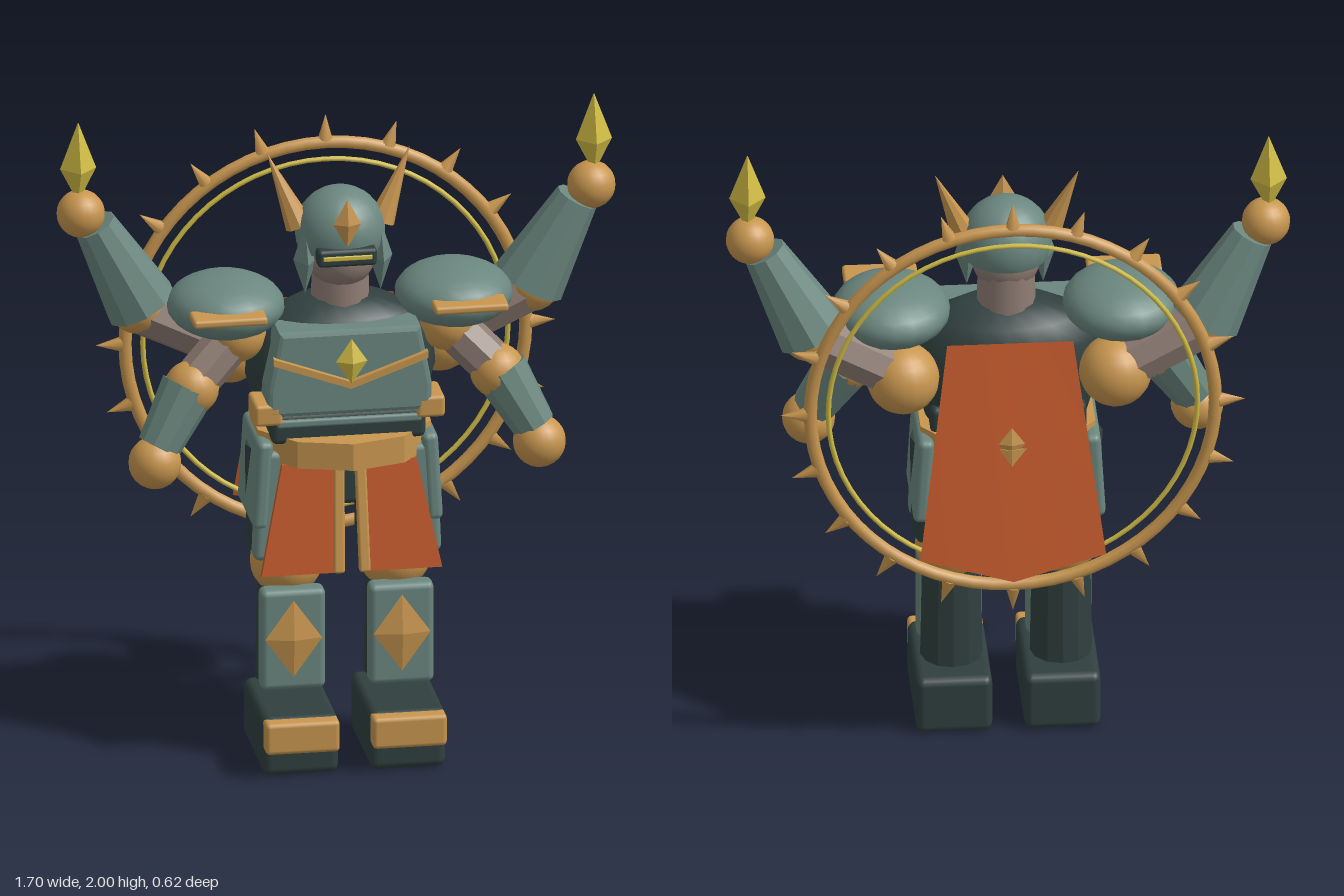
import * as THREE from 'three';
import { toCreasedNormals } from 'three/addons/utils/BufferGeometryUtils.js';
import { RoundedBoxGeometry } from 'three/addons/geometries/RoundedBoxGeometry.js';

const V = (x, y, z) => new THREE.Vector3(x, y, z);

export function createModel() {
  const mat = (name, color, side = THREE.FrontSide) => {
    const m = new THREE.MeshStandardMaterial({ color, side });
    m.name = name;
    return m;
  };
  const teal = mat('teal armour', 0x6b877f);
  const gold = mat('gold trim', 0xc8964f);
  const dark = mat('dark undersuit', 0x30403f);
  const skin = mat('grey brown skin', 0x8f7d74);
  const yellow = mat('yellow crystal', 0xd2bd45);
  const cloth = mat('orange cloth', 0xc45a2c, THREE.DoubleSide);

  const model = new THREE.Group();
  model.name = 'armouredGuardian';

  const add = (name, geo, material, p = [0, 0, 0], r = [0, 0, 0], s = [1, 1, 1]) => {
    const m = new THREE.Mesh(geo, material);
    m.name = name;
    m.position.set(...p);
    m.rotation.set(...r);
    m.scale.set(...s);
    model.add(m);
    return m;
  };
  const flat = (g) => toCreasedNormals(g, 0.3);
  const box = (name, m, size, p, r, bevel = 0.02) =>
    add(name, new RoundedBoxGeometry(...size, 2, bevel), m, p, r);
  const ball = (name, m, radius, p, s) =>
    add(name, new THREE.SphereGeometry(radius, 20, 14), m, p, [0, 0, 0], s);
  const diamond = (name, m, p, s) => add(name, new THREE.OctahedronGeometry(1), m, p, [0, 0, 0], s);

  // Tapered limb running from a to b
  const limb = (name, m, a, b, ra, rb, sides = 10) => {
    const dir = b.clone().sub(a);
    const mesh = add(name, flat(new THREE.CylinderGeometry(rb, ra, dir.length(), sides)), m);
    mesh.position.copy(a).addScaledVector(dir, 0.5);
    mesh.quaternion.setFromUnitVectors(V(0, 1, 0), dir.normalize());
    return mesh;
  };

  // Flat outlined plate, extruded along z
  const plate = (name, m, pts, depth, p, r, bevel = 0) => {
    const shape = new THREE.Shape(pts.map(([x, y]) => new THREE.Vector2(x, y)));
    const g = new THREE.ExtrudeGeometry(shape, {
      depth, bevelEnabled: bevel > 0, bevelSize: bevel, bevelThickness: bevel, bevelOffset: -bevel, bevelSegments: 2,
    });
    return add(name, g, m, p, r);
  };

  // Spiked halo behind the back
  const halo = { y: 1.21, z: -0.27 };
  add('haloRing', new THREE.TorusGeometry(0.61, 0.02, 8, 64), gold, [0, halo.y, halo.z]);
  add('haloInnerRing', new THREE.TorusGeometry(0.556, 0.008, 6, 64), yellow, [0, halo.y, halo.z]);
  for (let i = 0; i < 20; i++) {
    const a = (i / 20) * Math.PI * 2;
    add('haloSpike', new THREE.ConeGeometry(0.024, 0.08, 6), gold,
      [Math.sin(a) * 0.66, halo.y + Math.cos(a) * 0.66, halo.z], [0, 0, -a]);
  }

  // Torso, chest armour and belt
  const torso = [[0, 1.0], [0.23, 1.0], [0.26, 1.1], [0.29, 1.2], [0.28, 1.32], [0.22, 1.39], [0.13, 1.435], [0, 1.44]];
  add('torso', new THREE.LatheGeometry(torso.map(([x, y]) => new THREE.Vector2(x, y)), 20), dark,
    [0, 0, 0], [0, 0, 0], [1, 1, 0.57]);
  box('abdomen', dark, [0.47, 0.1, 0.28], [0, 1.07, 0.03]);
  plate('chestPlate', teal, [[-0.25, 1.115], [0.25, 1.115], [0.25, 1.2], [0.215, 1.385], [-0.215, 1.385], [-0.25, 1.2]],
    0.11, [0, 0, 0.065], [0, 0, 0], 0.015);
  box('abdomenBand', teal, [0.44, 0.025, 0.05], [0, 1.09, 0.155], [0, 0, 0], 0.008);
  plate('chestChevron', gold, [[-0.235, 1.29], [0, 1.205], [0.235, 1.29], [0.235, 1.312], [0, 1.227], [-0.235, 1.312]],
    0.025, [0, 0, 0.185]);
  diamond('chestGem', yellow, [0, 1.295, 0.215], [0.048, 0.072, 0.025]);
  add('belt', flat(new THREE.CylinderGeometry(0.277, 0.277, 0.085, 10)), gold, [0, 1.0, 0.005], [0, 0, 0], [1, 1, 0.89]);
  box('pelvis', dark, [0.4, 0.2, 0.24], [0, 0.9, 0]);

  // Neck, head and helmet
  add('neck', new THREE.CylinderGeometry(0.085, 0.09, 0.18, 12), skin, [0, 1.48, 0]);
  ball('face', skin, 0.105, [0, 1.57, 0.015]);
  add('helmet', new THREE.SphereGeometry(0.137, 20, 12, 0, Math.PI * 2, 0, Math.PI * 0.62), teal, [0, 1.64, 0]);
  add('helmetBase', new THREE.CircleGeometry(0.127, 20), teal, [0, 1.589, 0], [Math.PI / 2, 0, 0]);
  box('visor', dark, [0.18, 0.055, 0.06], [0, 1.598, 0.115], [0, 0, 0], 0.012);
  box('visorSlit', yellow, [0.15, 0.014, 0.009], [0, 1.6, 0.146], [0, 0, 0], 0.003);
  diamond('helmetCrest', gold, [0, 1.705, 0.135], [0.042, 0.078, 0.022]);

  // Cape hanging away from the back
  const cape = new THREE.BufferGeometry();
  cape.setAttribute('position', new THREE.Float32BufferAttribute([
    0.19, 1.37, -0.165, 0, 1.37, -0.165, -0.19, 1.37, -0.165,
    0.28, 0.7, -0.285, 0, 0.63, -0.313, -0.28, 0.7, -0.285], 3));
  cape.setIndex([0, 3, 4, 0, 4, 1, 1, 4, 5, 1, 5, 2]);
  cape.computeVertexNormals();
  add('cape', cape, cloth);
  diamond('capeEmblem', gold, [0, 1.06, -0.23], [0.04, 0.055, 0.014]);

  for (const s of [-1, 1]) {
    const at = (x, y, z) => V(s * x, y, z);

    // Helmet horn and cheek guard
    limb('horn', gold, at(0.125, 1.66, 0), at(0.215, 1.88, -0.03), 0.042, 0.001, 8);
    diamond('cheekGuard', teal, [s * 0.115, 1.57, 0.05], [0.036, 0.11, 0.065]);

    // Shoulder armour
    ball('pauldron', teal, 1, [s * 0.347, 1.418, -0.01], [0.178, 0.094, 0.192]);
    box('pauldronTrim', gold, [0.225, 0.026, 0.1], [s * 0.367, 1.437, 0.165], [0, 0, 0], 0.01);
    box('ribGuard', gold, [0.085, 0.068, 0.14], [s * 0.247, 1.124, 0.12], [0, 0, 0], 0.012);

    // Raised arm holding a crystal
    ball('rearShoulder', gold, 0.11, [s * 0.32, 1.24, -0.12]);
    limb('rearUpperArm', skin, at(0.32, 1.25, -0.12), at(0.61, 1.4, -0.1), 0.08, 0.085, 8);
    ball('rearElbow', gold, 0.09, [s * 0.6, 1.4, -0.1]);
    limb('rearForearm', teal, at(0.59, 1.4, -0.1), at(0.735, 1.67, -0.08), 0.112, 0.066);
    ball('rearHand', gold, 0.073, [s * 0.777, 1.71, -0.075]);
    limb('crystalBase', yellow, at(0.785, 1.77, -0.075), at(0.785, 1.855, -0.075), 0.012, 0.055, 4);
    limb('crystalTip', yellow, at(0.785, 1.855, -0.075), at(0.785, 2.0, -0.075), 0.055, 0.001, 4);

    // Lowered arm
    ball('frontShoulder', gold, 0.09, [s * 0.32, 1.34, 0.03]);
    limb('frontUpperArm', skin, at(0.32, 1.34, 0.03), at(0.47, 1.19, 0.08), 0.07, 0.07, 8);
    ball('frontElbow', gold, 0.083, [s * 0.465, 1.19, 0.08]);
    limb('frontForearm', teal, at(0.475, 1.19, 0.08), at(0.572, 1.02, 0.12), 0.085, 0.066);
    ball('frontHand', gold, 0.08, [s * 0.585, 0.975, 0.13]);

    // Skirt cloth with gold edging, tilted outward at the hem
    const skirt = [[0.035, 0.34], [0.205, 0.34], [0.275, 0], [0.035, 0]].map(([x, y]) => [s * x, y]);
    plate('skirtPanel', cloth, skirt, 0.022, [0, 0.62, 0.2], [-0.135, 0, 0]);
    box('skirtTrim', gold, [0.034, 0.345, 0.03], [s * 0.036, 0.792, 0.195], [-0.135, 0, s * 0.02], 0.008);

    // Leg armour over thigh
    box('hipPlate', teal, [0.05, 0.28, 0.3], [s * 0.258, 0.885, 0.005], [0, 0, s * 0.06]);
    box('thighPlate', teal, [0.2, 0.35, 0.07], [s * 0.18, 0.815, 0.115], [0, 0, s * 0.04]);
    add('thigh', flat(new THREE.CylinderGeometry(0.125, 0.12, 0.33, 12)), dark, [s * 0.165, 0.805, 0]);
    ball('knee', gold, 0.11, [s * 0.165, 0.595, 0.005]);

    // Shin, greave and boot
    add('shin', flat(new THREE.CylinderGeometry(0.088, 0.094, 0.34, 12)), dark, [s * 0.165, 0.39, 0]);
    box('greave', teal, [0.198, 0.32, 0.07], [s * 0.165, 0.385, 0.11]);
    diamond('greaveDiamond', gold, [s * 0.165, 0.39, 0.145], [0.087, 0.122, 0.018]);
    box('boot', dark, [0.23, 0.185, 0.385], [s * 0.163, 0.0925, 0.083], [0, 0, 0], 0.025);
    box('toeCap', gold, [0.226, 0.1, 0.09], [s * 0.163, 0.13, 0.265], [0, 0, 0], 0.014);
  }
  return model;
}
